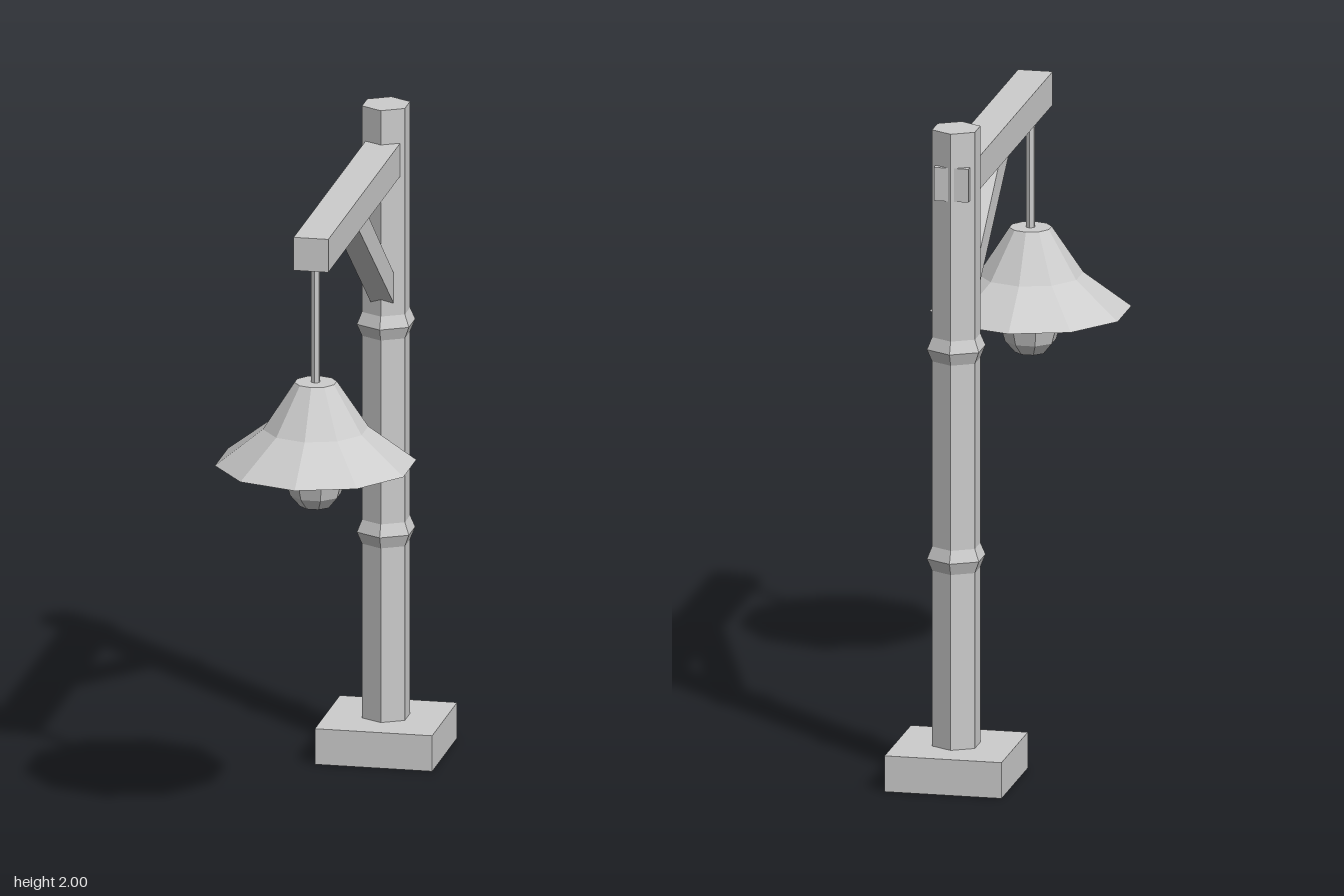
import * as THREE from 'three';

const POST_Z = -0.5625;
const LAMP_Z = 0.44;

export function createModel() {
  const group = new THREE.Group();
  const grey = new THREE.MeshStandardMaterial({ color: 0xcccccc, flatShading: true, side: THREE.DoubleSide });
  grey.name = 'light grey';

  const add = (name, geometry, x = 0, y = 0, z = 0) => {
    const mesh = new THREE.Mesh(geometry, grey);
    mesh.name = name;
    mesh.position.set(x, y, z);
    group.add(mesh);
    return mesh;
  };
  // faceted turned part from [radius, height] pairs, bottom to top
  const turned = (points, sides, start = 0) =>
    new THREE.LatheGeometry(points.map(([r, y]) => new THREE.Vector2(r, y)), sides, start);

  // square foot and six-sided post
  add('base', new THREE.BoxGeometry(0.355, 0.11, 0.355), 0, 0.055, POST_Z);
  add('post', new THREE.CylinderGeometry(0.075, 0.075, 1.89, 6), 0, 1.055, POST_Z);

  // bevelled collars around the post
  for (const y of [0.685, 1.327]) {
    add('collar', turned([[0.075, -0.037], [0.091, 0], [0.075, 0.037]], 6), 0, y, POST_Z);
  }

  // horizontal arm running through the post
  add('arm', new THREE.BoxGeometry(0.105, 0.102, 1.138), 0, 1.843, -0.063);

  // diagonal brace, drawn in (z, y) and extruded across x
  const brace = new THREE.Shape([
    [0, 1.78], [0.015, 1.80], [-0.115, 1.80], [-0.555, 1.458], [-0.555, 1.366],
  ].map(([z, y]) => new THREE.Vector2(-z, y)));
  const braceGeo = new THREE.ExtrudeGeometry(brace, { depth: 0.07, bevelEnabled: false });
  braceGeo.translate(0, 0, -0.035).rotateY(Math.PI / 2);
  add('brace', braceGeo);

  // hanging rod, open shade and bulb
  add('rod', new THREE.CylinderGeometry(0.014, 0.014, 0.38, 6), 0, 1.61, LAMP_Z);
  add('shade', turned([[0.3, 1.182], [0.157, 1.29], [0.063, 1.432], [0, 1.432]], 10), 0, 0, LAMP_Z);
  add('bulb', turned([
    [0, 1.05], [0.047, 1.05], [0.077, 1.085], [0.09, 1.13], [0.066, 1.19], [0.047, 1.27], [0.047, 1.425],
  ], 8, Math.PI / 8), 0, 0, LAMP_Z);

  return group;
}
